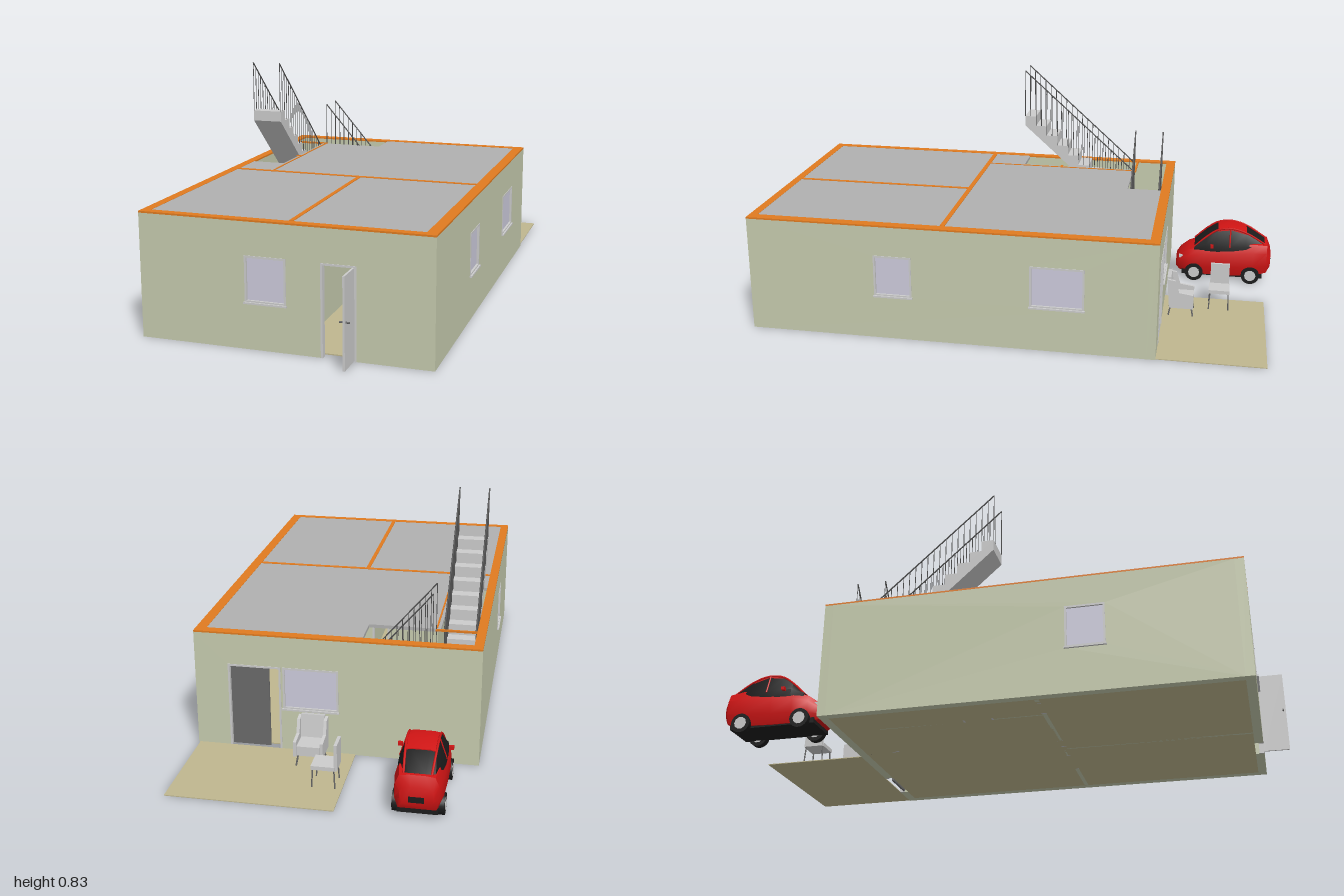
import * as THREE from 'three';
import { toCreasedNormals } from 'three/addons/utils/BufferGeometryUtils.js';

const mat = (color) => new THREE.MeshStandardMaterial({ color, side: THREE.DoubleSide });
const M = {
  wall: mat(0xc6cbae), orange: mat(0xe07b20), slab: mat(0xb0b0b0), floor: mat(0xbfb78f), grey: mat(0xcccccc),
  dark: mat(0x6a6a6a), rail: mat(0x555555), glass: mat(0xcdcbdc), cream: mat(0xe2d8bf),
  red: mat(0xd01414), black: mat(0x1c1c1c),
};
const H = 0.435, T = 0.032;

function add(parent, name, geo, material) {
  const m = new THREE.Mesh(geo, material);
  m.name = name;
  parent.add(m);
  return m;
}
// Box given by its minimum and maximum on each axis
function box(parent, name, material, x0, x1, y0, y1, z0, z1) {
  const m = add(parent, name, new THREE.BoxGeometry(x1 - x0, y1 - y0, z1 - z0), material);
  m.position.set((x0 + x1) / 2, (y0 + y1) / 2, (z0 + z1) / 2);
  return m;
}
function group(parent, name, x = 0, y = 0, z = 0, ry = 0) {
  const g = new THREE.Group();
  g.name = name;
  g.position.set(x, y, z);
  g.rotation.y = ry;
  parent.add(g);
  return g;
}
function rod(parent, name, a, b, r, material) {
  const p = new THREE.Vector3(...a), q = new THREE.Vector3(...b);
  const m = add(parent, name, new THREE.CylinderGeometry(r, r, p.distanceTo(q), 6), material);
  m.position.copy(p).lerp(q, 0.5);
  m.quaternion.setFromUnitVectors(new THREE.Vector3(0, 1, 0), q.sub(p).normalize());
}
const poly = (pts, Kind = THREE.Shape) => new Kind(pts.map((p) => new THREE.Vector2(...p)));
const rect = (a, b, c, d, Kind) => poly([[a, c], [b, c], [b, d], [a, d]], Kind);
const extrude = (shape, depth) => new THREE.ExtrudeGeometry(shape, { depth, bevelEnabled: false });

// Frame around an opening, without a bottom bar for doors
function frame(g, [a, b, c, d], z, bottom) {
  const w = 0.007;
  box(g, 'frameSide', M.grey, a, a + w, c, d, z, z + 0.02);
  box(g, 'frameSide', M.grey, b - w, b, c, d, z, z + 0.02);
  box(g, 'frameTop', M.grey, a, b, d - w, d, z, z + 0.02);
  if (bottom) box(g, 'frameBottom', M.grey, a, b, c, c + w, z, z + 0.02);
}
// Wall with notched doors and framed windows; out is the outer side in local z
function wall(parent, name, u0, u1, t, out, windows, doors) {
  const pts = [[u0, 0]];
  doors.forEach(([a, b, h]) => pts.push([a, 0], [a, h], [b, h], [b, 0]));
  pts.push([u1, 0], [u1, H - 0.006], [u0, H - 0.006]);
  const s = poly(pts);
  windows.forEach((w) => s.holes.push(rect(...w, THREE.Path)));
  add(parent, name, extrude(s, t), M.wall);
  const face = out > 0 ? t - 0.018 : -0.002;
  windows.forEach((w) => {
    const f = group(parent, 'window');
    frame(f, w, face, true);
    box(f, 'pane', M.glass, w[0], w[1], w[2], w[3], face + 0.007, face + 0.012);
    const z = out > 0 ? t : -0.008;
    box(f, 'sill', M.grey, w[0] - 0.003, w[1] + 0.003, w[2] - 0.004, w[2] + 0.002, z, z + 0.008);
  });
  doors.forEach(([a, b, h]) => frame(group(parent, 'doorFrame'), [a, b, 0, h], face, false));
}

// Flight climbing along local +x, with balusters and handrails on both sides
function flight(parent, name, n, rise, run, width, railH) {
  const pts = [], L = n * run, top = n * rise;
  for (let i = 0; i < n; i++) pts.push([i * run, i * rise], [i * run, (i + 1) * rise]);
  pts.push([L, top], [L, top - 0.04], [run, 0]);
  add(parent, name, extrude(poly(pts), width), M.grey);
  for (const z of [0.002, width - 0.002]) {
    rod(parent, 'handrail', [0, railH, z], [L, top + railH, z], 0.0025, M.rail);
    for (let i = 0; i <= 2 * n; i++) {
      const x = (i * run) / 2;
      rod(parent, 'baluster', [x, (i * rise) / 2, z], [x, (i * rise) / 2 + railH, z], 0.0014, M.rail);
    }
  }
}

// Skin over closed rings of [x, y], each at its own z
function loft(rings, zs) {
  const pos = [], idx = [], n = rings[0].length, last = rings.length - 1;
  rings.forEach((r, i) => r.forEach(([x, y]) => pos.push(x, y, zs[i])));
  for (let i = 0; i < last; i++) for (let j = 0; j < n; j++) {
    const a = i * n + j, b = i * n + ((j + 1) % n);
    idx.push(a, b, a + n, b, b + n, a + n);
  }
  for (let j = 1; j < n - 1; j++) idx.push(0, j + 1, j, last * n, last * n + j, last * n + j + 1);
  const g = new THREE.BufferGeometry();
  g.setAttribute('position', new THREE.Float32BufferAttribute(pos, 3));
  g.setIndex(idx);
  return toCreasedNormals(g, 0.7);
}
const mirrorRing = (half) => [...half, ...half.slice().reverse().map(([x, y]) => [-x, y])];

function car(g) {
  // Lower body: z, half width, bottom, top
  const body = [[-0.19, 0.055, 0.07, 0.125], [-0.175, 0.072, 0.045, 0.16], [-0.12, 0.081, 0.03, 0.165],
    [0, 0.082, 0.025, 0.155], [0.08, 0.081, 0.025, 0.147], [0.14, 0.077, 0.03, 0.125],
    [0.175, 0.064, 0.035, 0.1], [0.19, 0.045, 0.045, 0.08]];
  add(g, 'carBody', loft(body.map(([, w, b, t]) => mirrorRing([[w * 0.85, b], [w, b + (t - b) * 0.3],
    [w * 0.97, b + (t - b) * 0.75], [w * 0.8, t], [w * 0.35, t + 0.004]])), body.map((s) => s[0])), M.red);
  // Cabin: z, half width at the belt, half width at the top, top
  const cabin = [[-0.165, 0.058, 0.045, 0.165], [-0.09, 0.073, 0.05, 0.209], [-0.03, 0.076, 0.052, 0.225],
    [0.025, 0.076, 0.052, 0.217], [0.07, 0.074, 0.055, 0.186], [0.118, 0.066, 0.058, 0.14]];
  add(g, 'carGlass', loft(cabin.map(([, w, r, t]) => mirrorRing([[w, 0.12], [w, Math.min(0.155, t)],
    [r, t - 0.004], [r * 0.6, t]])), cabin.map((s) => s[0])), M.black);
  const roof = cabin.slice(1, 4);
  add(g, 'carRoof', loft(roof.map(([, , r, t]) => mirrorRing([[r + 0.002, t - 0.008], [r + 0.001, t - 0.001],
    [r * 0.6, t + 0.003]])), roof.map((s) => s[0])), M.red);
  box(g, 'carUnderside', M.black, -0.066, 0.066, 0.02, 0.04, -0.16, 0.165);
  box(g, 'rearPlate', M.black, -0.025, 0.025, 0.075, 0.095, -0.192, -0.185);
  for (const s of [-1, 1]) {
    const edge = new THREE.CatmullRomCurve3(cabin.map(([z, , r, t]) => new THREE.Vector3(s * r, t - 0.002, z)));
    add(g, 'carPillar', new THREE.TubeGeometry(edge, 20, 0.004, 6), M.red);
    rod(g, 'centrePillar', [s * 0.077, 0.15, -0.025], [s * 0.053, 0.222, -0.025], 0.003, M.red);
    box(g, 'carMirror', M.red, s * 0.085 - 0.008, s * 0.085 + 0.008, 0.148, 0.16, 0.04, 0.052);
    box(g, 'headlight', M.grey, s * 0.052 - 0.01, s * 0.052 + 0.01, 0.088, 0.1, 0.155, 0.178);
    for (const z of [-0.112, 0.115]) {
      const tyre = add(g, 'tyre', new THREE.CylinderGeometry(0.036, 0.036, 0.024, 24), M.black);
      const hub = add(g, 'wheelHub', new THREE.CylinderGeometry(0.023, 0.023, 0.026, 10), M.grey);
      for (const w of [tyre, hub]) {
        w.rotation.z = Math.PI / 2;
        w.position.set(s * 0.073, 0.036, z);
      }
    }
  }
}

// Winged armchair facing local -z
function armchair(g) {
  box(g, 'seat', M.grey, -0.04, 0.04, 0.04, 0.075, -0.05, 0.035);
  const back = box(g, 'backrest', M.grey, -0.042, 0.042, 0.05, 0.157, 0.03, 0.045);
  back.rotation.x = 0.12;
  const side = poly([[-0.05, 0.035], [0.04, 0.035], [0.05, 0.15], [0.02, 0.145], [0.005, 0.098], [-0.05, 0.09]]);
  for (const s of [-1, 1]) {
    const m = add(g, 'wingAndArm', extrude(side, 0.011), M.grey);
    m.rotation.y = -Math.PI / 2;
    m.position.x = s * 0.047 + 0.0055;
    for (const z of [-0.042, 0.035]) rod(g, 'chairLeg', [s * 0.036, 0.04, z], [s * 0.042, 0.001, z * 1.2], 0.003, M.dark);
  }
}

export function createModel() {
  const root = new THREE.Group();
  root.name = 'house';

  // Outer walls; side walls use u = -z
  wall(group(root, 'frontWall', 0, 0, 0.905 - T), 'frontWallPanel', -0.505, 0.505, T, 1,
    [[-0.13, 0.013, 0.16, 0.317]], [[0.13, 0.25, 0.315]]);
  wall(group(root, 'backWall', 0, 0, -0.59), 'backWallPanel', -0.505, 0.505, T, -1,
    [[-0.01, 0.188, 0.16, 0.317]], [[0.195, 0.385, 0.317]]);
  wall(group(root, 'rightWall', 0.505 - T, 0, 0, Math.PI / 2), 'rightWallPanel', -0.905 + T, 0.59 - T, T, 1,
    [[-0.43, -0.29, 0.165, 0.32], [0.14, 0.335, 0.165, 0.32]], []);
  wall(group(root, 'leftWall', -0.505, 0, 0, Math.PI / 2), 'leftWallPanel', -0.905 + T, 0.59 - T, T, -1,
    [[-0.43, -0.29, 0.165, 0.32]], []);

  // Inner walls
  wall(group(root, 'crossWall', 0, 0, 0.175), 'crossWallPanel', -0.47, 0.47, 0.015, 1, [],
    [[-0.44, -0.34, 0.315], [-0.07, 0, 0.315], [0.1, 0.26, 0.315]]);
  wall(group(root, 'middleWall', 0.015, 0, 0, Math.PI / 2), 'middleWallPanel', -0.875, -0.19, 0.013, 1, [], []);
  wall(group(root, 'stairWall', -0.334, 0, 0, Math.PI / 2), 'stairWallPanel', -0.175, 0.42, 0.006, 1, [], [[0, 0.11, 0.315]]);

  // Cut tops of the walls
  const ring = rect(-0.505, 0.505, -0.905, 0.59);
  ring.holes.push(rect(-0.473, 0.467, -0.875, 0.555, THREE.Path));
  const cap = add(root, 'wallTop', extrude(ring, 0.006), M.orange);
  cap.rotation.x = -Math.PI / 2;
  cap.position.y = H - 0.006;
  box(root, 'crossWallTop', M.orange, -0.473, 0.467, H - 0.006, H + 0.001, 0.173, 0.19);
  box(root, 'middleWallTop', M.orange, 0.014, 0.029, H - 0.006, H + 0.001, 0.19, 0.875);
  box(root, 'stairWallTop', M.orange, -0.334, -0.328, H - 0.006, H + 0.001, -0.42, 0.173);
  box(root, 'landingWallTop', M.orange, -0.473, -0.328, H - 0.006, H + 0.001, -0.438, -0.43);
  box(root, 'doorStubTop', M.orange, -0.352, -0.334, H - 0.006, H + 0.001, -0.133, -0.122);

  // Ceiling slab with an L-shaped stairwell
  const slab = poly([[-0.473, -0.875], [0.467, -0.875], [0.467, 0.555], [-0.09, 0.555], [-0.09, 0.425],
    [-0.345, 0.425], [-0.345, -0.03], [-0.473, -0.03]]);
  const ceiling = add(root, 'ceilingSlab', extrude(slab, 0.012), M.slab);
  ceiling.rotation.x = -Math.PI / 2;
  ceiling.position.y = H - 0.013;

  // Floor and patio
  box(root, 'floor', M.floor, -0.473, 0.473, 0, 0.004, -0.558, 0.873);
  box(root, 'patio', M.floor, -0.07, 0.5, 0, 0.003, -0.975, -0.59);

  // Stairs
  flight(group(root, 'upperStairs', -0.355, 0.24, -0.42, -Math.PI / 2), 'upperSteps', 10, 0.04, 0.045, 0.115, 0.19);
  flight(group(root, 'lowerStairs', -0.09, 0, -0.43, Math.PI), 'lowerSteps', 6, 0.0467, 0.04, 0.115, 0.325);
  box(root, 'stairLanding', M.grey, -0.472, -0.33, 0.22, 0.26, -0.55, -0.42);

  // Open front door and half-closed back door
  const door = group(root, 'frontDoor');
  box(door, 'doorLeaf', M.grey, 0.236, 0.243, 0.004, 0.31, 0.905, 1);
  rod(door, 'doorHandle', [0.222, 0.16, 0.99], [0.256, 0.16, 0.99], 0.003, M.dark);
  box(root, 'backDoorLeaf', M.dark, 0.24, 0.38, 0.004, 0.311, -0.578, -0.57);

  // Patio seats, indoor chair and car
  armchair(group(root, 'patioArmchair', 0.075, 0.002, -0.655));
  armchair(group(root, 'indoorArmchair', 0.235, 0.002, 0.0, Math.PI / 2));
  const chair = group(root, 'patioSideChair', -0.007, 0.002, -0.8);
  box(chair, 'sideChairSeat', M.grey, -0.04, 0.042, 0.066, 0.08, -0.04, 0.04);
  box(chair, 'sideChairBack', M.grey, -0.047, -0.036, 0.066, 0.16, -0.036, 0.036);
  for (const x of [-0.036, 0.036]) for (const z of [-0.034, 0.034])
    rod(chair, 'sideChairLeg', [x, 0.07, z], [x * 1.1, 0.001, z * 1.1], 0.0025, M.dark);
  car(group(root, 'car', -0.34, 0, -0.81));
  return root;
}
